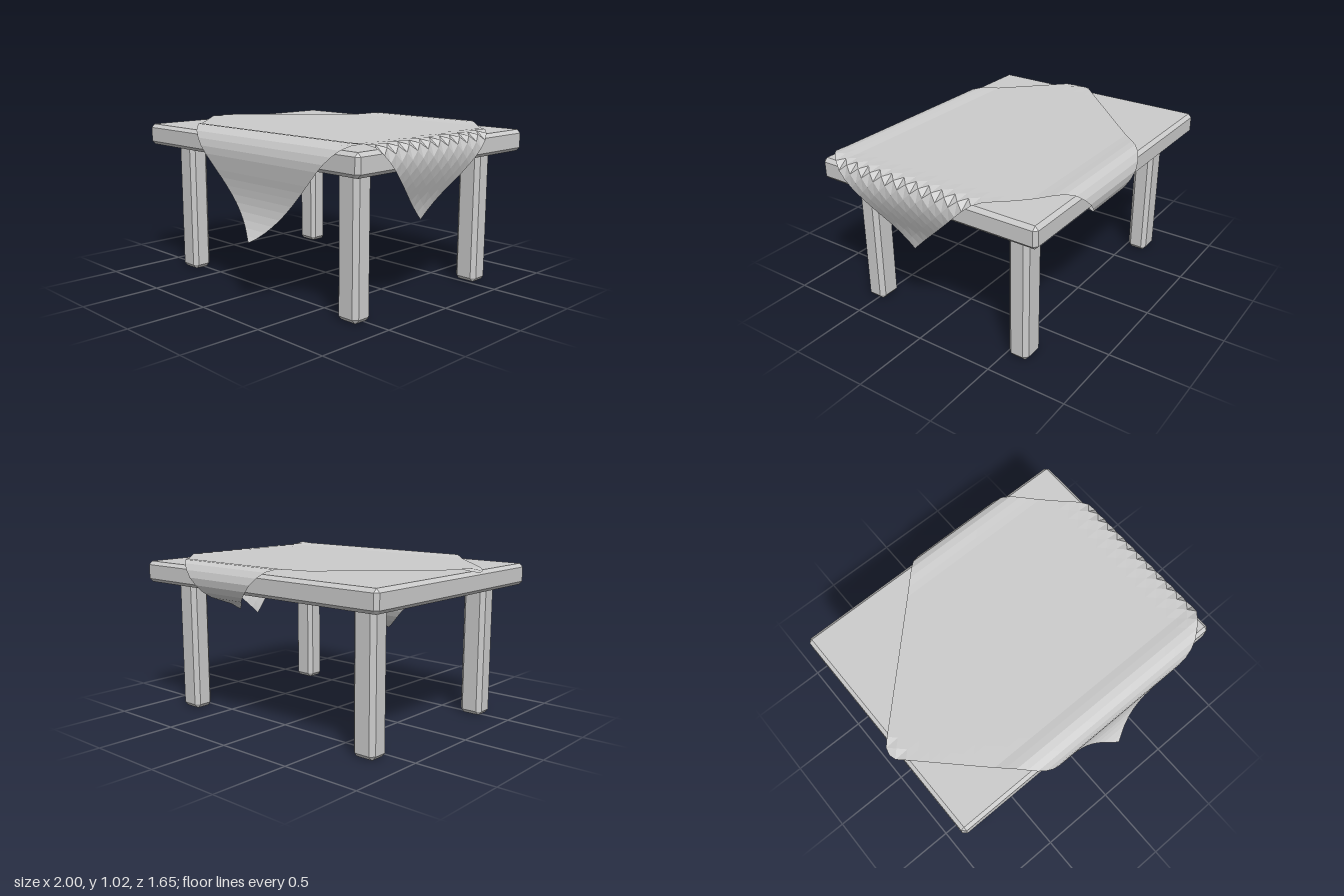
import * as THREE from 'three';
import { ConvexGeometry } from 'three/addons/geometries/ConvexGeometry.js';

const tableMat = new THREE.MeshStandardMaterial({ color: 0xcccccc, flatShading: true });
const clothMat = new THREE.MeshStandardMaterial({ color: 0xcccccc, flatShading: true, side: THREE.DoubleSide });

// Rectangle ring with cut corners at height y
function ring(w, d, cut, y) {
  const pts = [];
  for (const sx of [-1, 1]) for (const sz of [-1, 1]) {
    pts.push(new THREE.Vector3(sx * (w / 2 - cut), y, sz * d / 2));
    pts.push(new THREE.Vector3(sx * w / 2, y, sz * (d / 2 - cut)));
  }
  return pts;
}

// Convex solid through a stack of rings, each [width, depth, cut, y]
function stack(name, rings) {
  const mesh = new THREE.Mesh(new ConvexGeometry(rings.flatMap(r => ring(...r))), tableMat);
  mesh.name = name;
  return mesh;
}

// Fold profile: maps flat distance along the cloth to [outward position, height]
function foldProfile(points) {
  const curve = new THREE.CatmullRomCurve3(points.map(([p, y]) => new THREE.Vector3(p, y, 0)));
  const start = points[0][0];
  const length = curve.getLength();
  return s => {
    if (s <= start) return [s, points[0][1]];
    const p = curve.getPointAt(Math.min(1, (s - start) / length));
    return [p.x, p.y];
  };
}

const TOP = 1.0;
const folds = {
  front: foldProfile([[0.55, TOP], [0.65, 1.01], [0.72, 0.98], [0.755, 0.9], [0.75, 0.8], [0.737, 0.7],
    [0.735, 0.6], [0.75, 0.52], [0.785, 0.445], [0.828, 0.397]]),
  back: foldProfile([[0.62, TOP], [0.75, 1.01], [0.795, 0.985], [0.823, 0.92], [0.812, 0.86], [0.78, 0.81],
    [0.72, 0.777], [0.68, 0.757], [0.655, 0.73]]),
  right: foldProfile([[0.85, TOP], [0.94, 1.003], [0.985, 0.975], [0.998, 0.9], [0.98, 0.82], [0.945, 0.73],
    [0.91, 0.65], [0.885, 0.56], [0.88, 0.525]]),
  left: foldProfile([[0.88, TOP], [0.95, 1.0], [1.0, 0.983]]),
};

// Square cloth laid diagonally, its corners draped over the table edges
function makeCloth() {
  const n = 28, half = 1.25, cx = 0.215, cz = 0.103;
  const geo = new THREE.PlaneGeometry(1, 1, n, n);
  const pos = geo.attributes.position;
  for (let i = 0; i < pos.count; i++) {
    const a = pos.getX(i), b = -pos.getY(i);
    const x = cx + (a - b) * half;
    const z = cz + (a + b) * half;
    const [px, yx] = x > 0 ? folds.right(x) : folds.left(-x);
    const [pz, yz] = z > 0 ? folds.front(z) : folds.back(-z);
    pos.setXYZ(i, x > 0 ? px : -px, yx + yz - TOP, z > 0 ? pz : -pz);
  }
  geo.computeVertexNormals();
  const mesh = new THREE.Mesh(geo, clothMat);
  mesh.name = 'tablecloth';
  return mesh;
}

export function createModel() {
  const group = new THREE.Group();
  group.name = 'tableWithCloth';

  // Bevelled table top
  const W = 1.915, D = 1.505, c = 0.022;
  const top = stack('tableTop', [
    [W - 2 * c, D - 2 * c, 0, 0.845], [W, D, c, 0.845 + c],
    [W, D, c, 0.98 - c], [W - 2 * c, D - 2 * c, 0, 0.98],
  ]);
  top.position.set(0.007, 0, -0.036);
  group.add(top);

  // Four legs, each with a flared collar under the top
  for (const [x, sideName] of [[-0.742, 'Right'], [0.754, 'Left']]) {
    for (const [z, endName] of [[0.518, 'front'], [-0.581, 'back']]) {
      const leg = new THREE.Group();
      leg.name = `${endName}${sideName}Leg`;
      leg.add(stack('legPost', [
        [0.115, 0.092, 0.005, 0], [0.155, 0.133, 0.026, 0.024], [0.155, 0.133, 0.026, 0.83],
      ]));
      leg.add(stack('legCollar', [
        [0.155, 0.133, 0.026, 0.82], [0.203, 0.178, 0.006, 0.846],
      ]));
      leg.position.set(x, 0, z);
      group.add(leg);
    }
  }

  group.add(makeCloth());
  return group;
}
